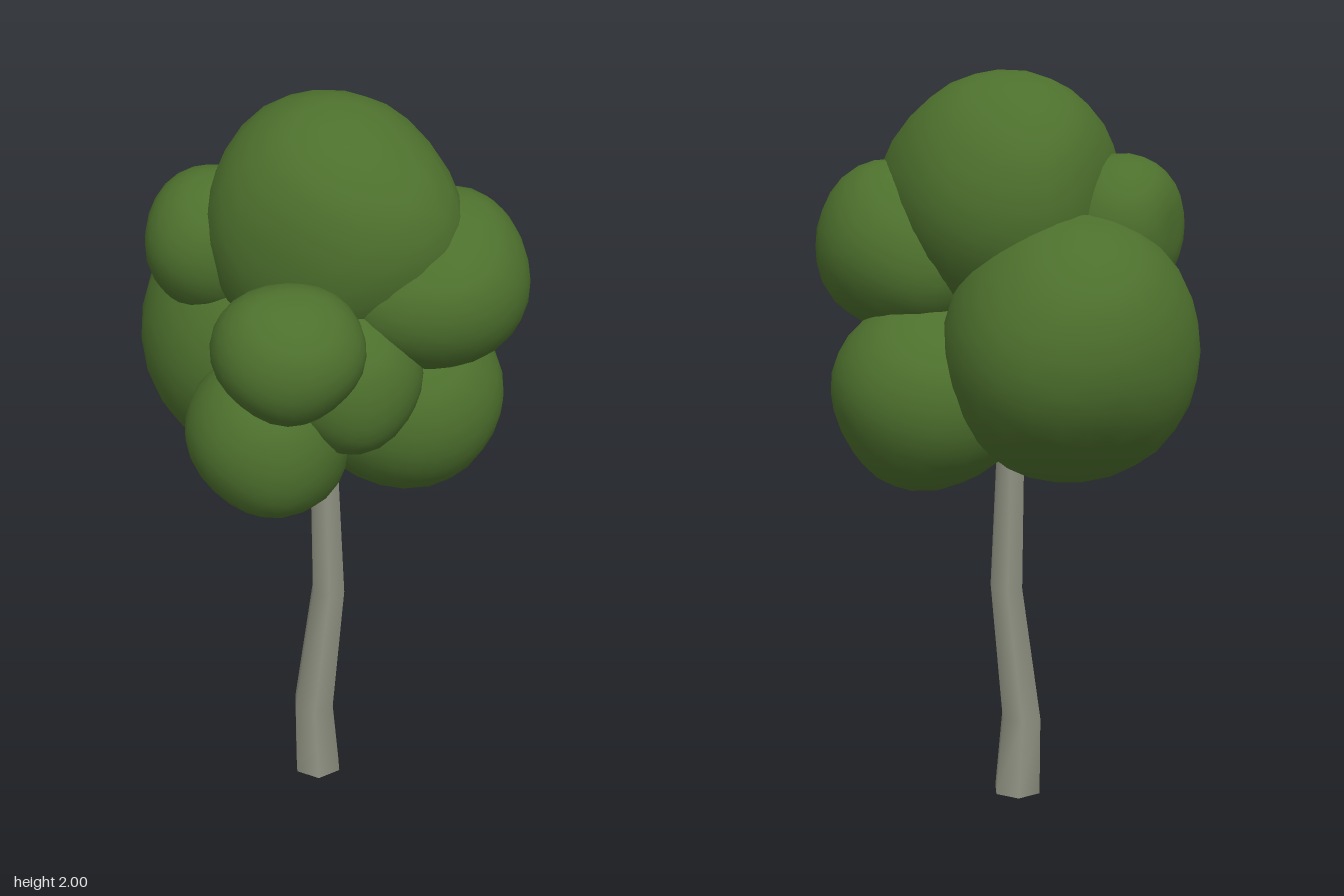
import * as THREE from 'three';
import { mergeVertices } from 'three/addons/utils/BufferGeometryUtils.js';

const vec = (x, y, z) => new THREE.Vector3(x, y, z);
const ring = (x, y, z, radius) => new THREE.Vector4(x, y, z, radius);

// Directions by name, so that 'left up' is halfway between left and up
const SIDES = {
  left: vec(1, 0, 0), right: vec(-1, 0, 0),
  up: vec(0, 1, 0), down: vec(0, -1, 0),
  front: vec(0, 0, 1), back: vec(0, 0, -1),
};
function direction(words) {
  const dir = vec(0, 0, 0);
  for (const word of words.split(' ')) dir.add(SIDES[word]);
  return dir.normalize();
}

// Lumpy ellipsoid: each bump pushes the surface out (or in) around a direction
function blobGeometry(radii, bumps) {
  const lumps = Object.entries(bumps).map(([words, amount]) => ({ dir: direction(words), amount }));
  let geo = new THREE.IcosahedronGeometry(1, 4);
  geo.deleteAttribute('uv');
  geo.deleteAttribute('normal');
  geo = mergeVertices(geo, 1e-4);
  const pos = geo.attributes.position;
  const p = new THREE.Vector3();
  for (let i = 0; i < pos.count; i++) {
    p.fromBufferAttribute(pos, i).normalize();
    let scale = 1;
    for (const { dir, amount } of lumps) scale += amount * Math.max(0, p.dot(dir)) ** 6;
    p.multiplyScalar(scale).multiply(radii);
    pos.setXYZ(i, p.x, p.y, p.z);
  }
  geo.computeVertexNormals();
  return geo;
}

// Six-sided trunk following bent, tapering rings, each a centre and a radius
function trunkGeometry(rings) {
  const last = rings.length - 1;
  let geo = new THREE.CylinderGeometry(1, 1, 1, 6, last, false, Math.PI / 4);
  geo.deleteAttribute('uv');
  geo = mergeVertices(geo, 1e-3);
  const pos = geo.attributes.position;
  for (let i = 0; i < pos.count; i++) {
    const { x, y, z, w } = rings[Math.round((pos.getY(i) + 0.5) * last)];
    pos.setXYZ(i, x + pos.getX(i) * w, y, z + pos.getZ(i) * w);
  }
  geo.computeVertexNormals();
  return geo;
}

export function createModel() {
  const tree = new THREE.Group();
  tree.name = 'tree';
  const leaf = new THREE.MeshStandardMaterial({ color: 0x4d702d });
  leaf.name = 'leaf green';
  const bark = new THREE.MeshStandardMaterial({ color: 0x8f9282 });
  bark.name = 'bark grey';

  const addPart = (name, geometry, material) => {
    const mesh = new THREE.Mesh(geometry, material);
    mesh.name = name;
    tree.add(mesh);
    return mesh;
  };
  const addClump = (name, centre, radii, bumps) =>
    addPart(name, blobGeometry(radii, bumps), leaf).position.copy(centre);

  // Trunk, running up into the foliage
  addPart('trunk', trunkGeometry([
    ring(-0.057, 0, 0.04, 0.07),
    ring(-0.067, 0.22, 0.037, 0.06),
    ring(-0.025, 0.6, 0.043, 0.049),
    ring(-0.049, 1.4, 0.043, 0.034),
  ]), bark);

  // Large clumps
  addClump('crownTop', vec(-0.03, 1.67, 0.01), vec(0.31, 0.33, 0.315), {
    'left front': 0.22, 'right front': -0.1, 'right back': -0.13,
    'left up': 0.05, 'left up back': -0.06, 'right up': -0.03,
  });
  addClump('backClump', vec(-0.125, 1.295, -0.2), vec(0.335, 0.355, 0.35), {
    'left back': 0.07, 'right back': -0.04, 'down back': -0.1, 'up back': 0.05,
  });
  addClump('lowerLeftClump', vec(0.19, 1.165, 0.025), vec(0.27, 0.25, 0.265), {
    'left down down down': 0.09, 'left left down': -0.03, 'up back': -0.04,
  });
  addClump('upperLeftClump', vec(0.21, 1.54, 0.15), vec(0.25, 0.22, 0.26), {
    'left up up': 0.1, 'right up up front': -0.16, 'left down': 0.06,
    'down back': 0.1, 'up back back': -0.08, 'right right right down front': 0.09,
  });

  // Small clumps
  addClump('frontRightClump', vec(-0.23, 1.49, 0.37), vec(0.185, 0.17, 0.18), {
    'right up': 0.08, 'left up': 0.05, 'right down': -0.1, 'left front': 0.04, 'left down front': -0.06,
  });
  addClump('frontClump', vec(-0.037, 1.345, 0.21), vec(0.2, 0.2, 0.2), {
    'right down': -0.09, 'down front': 0.08, 'left up': -0.04,
  });
  addClump('lowerRightClump', vec(-0.235, 1.19, 0.18), vec(0.205, 0.21, 0.21), {
    'left down': 0.17, 'right down': -0.05, 'down front': 0.06,
  });
  addClump('upperRightClump', vec(-0.28, 1.6, -0.13), vec(0.18, 0.19, 0.18), {
    'right back': -0.17, 'right front': 0.04, 'left back': 0.04,
  });
  return tree;
}
